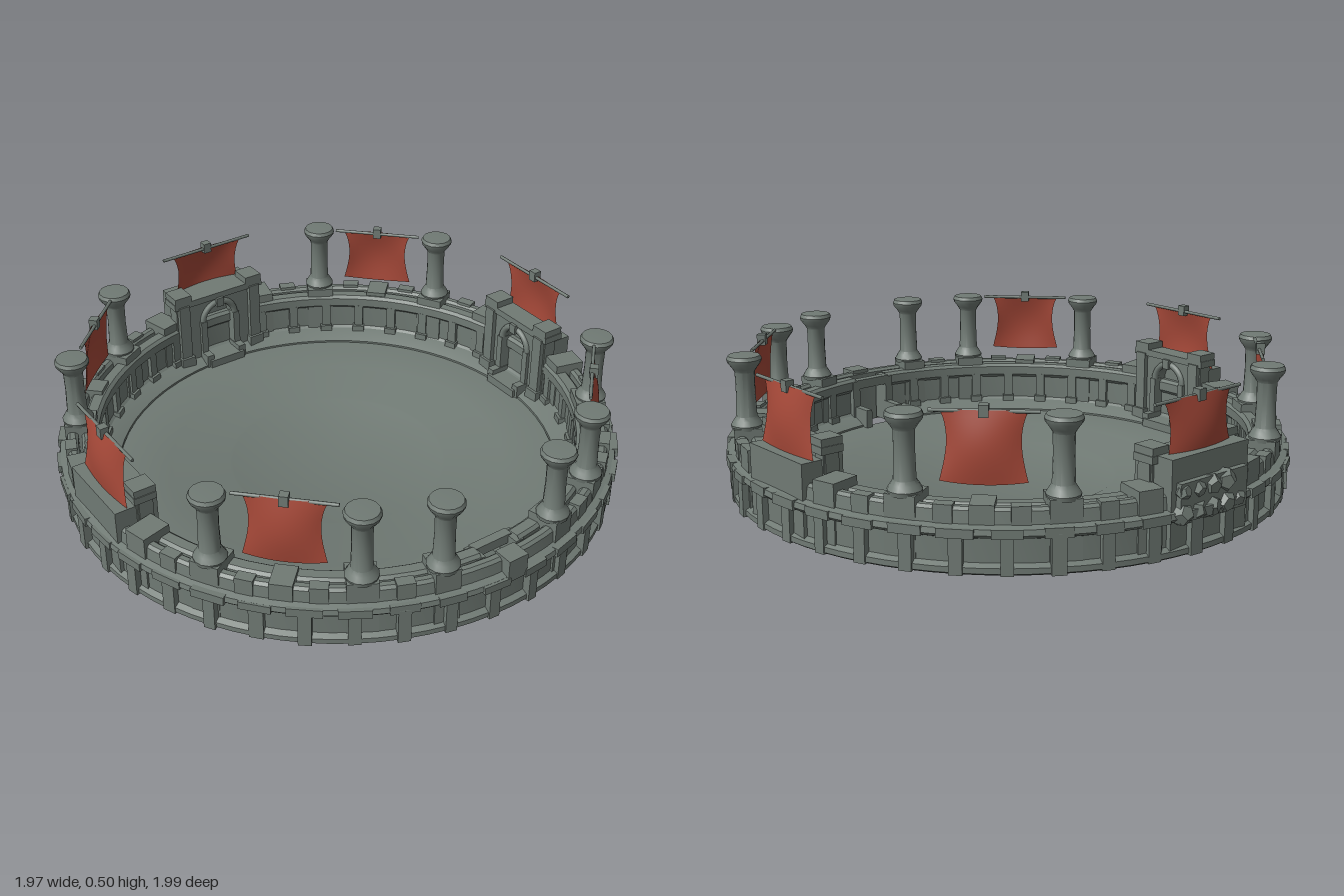
import * as THREE from 'three';
import { toCreasedNormals } from 'three/addons/utils/BufferGeometryUtils.js';

const stone = new THREE.MeshStandardMaterial({ color: 0x707a74 });
stone.name = 'grey stone';
const cloth = new THREE.MeshStandardMaterial({ color: 0xa54838, side: THREE.DoubleSide });
cloth.name = 'red cloth';

let seed = 7;
const rand = () => (seed = (seed * 16807) % 2147483647) / 2147483647;
const jitter = (v, amount) => v + (rand() - 0.5) * amount;
const rad = (deg) => (deg * Math.PI) / 180;

function mesh(parent, name, geometry, material = stone) {
  const m = new THREE.Mesh(geometry, material);
  m.name = name;
  parent.add(m);
  return m;
}

// Box given by its width and its extents in y and z
function block(parent, name, w, y0, y1, z0, z1, x = 0) {
  const m = mesh(parent, name, new THREE.BoxGeometry(w, y1 - y0, z1 - z0));
  m.position.set(x, (y0 + y1) / 2, (z0 + z1) / 2);
  return m;
}

// Group turned about the arena axis; local +z points outward
function spoke(parent, name, deg) {
  const g = new THREE.Group();
  g.name = name;
  g.rotation.y = rad(deg);
  parent.add(g);
  return g;
}

function lathe(parent, name, profile, segments, start = 0) {
  const pts = profile.map(([r, y]) => new THREE.Vector2(r, y));
  const geo = new THREE.LatheGeometry(pts, segments, start, Math.PI * 2 - 2 * start);
  return mesh(parent, name, toCreasedNormals(geo, 0.6));
}

// Column with flared foot and capital
function column(parent, r) {
  const c = lathe(parent, 'column', [
    [0, 0.23], [0.052, 0.23], [0.055, 0.245], [0.045, 0.262], [0.036, 0.275], [0.033, 0.36],
    [0.034, 0.43], [0.042, 0.443], [0.057, 0.463], [0.06, 0.475], [0.054, 0.487], [0, 0.49],
  ], 14);
  c.position.z = r;
}

// Billowing cloth hanging from a crossbar
function banner(parent, r, barHalf, width) {
  const h = 0.215;
  const geo = new THREE.PlaneGeometry(width, h, 14, 10);
  const p = geo.attributes.position;
  for (let i = 0; i < p.count; i++) {
    const u = p.getX(i) / (width / 2);
    const v = THREE.MathUtils.clamp(0.5 - p.getY(i) / h, 0, 1);
    p.setX(i, p.getX(i) * (1 - 0.16 * Math.sin(Math.PI * Math.pow(v, 0.8))));
    p.setY(i, p.getY(i) - 0.008 * (1 - u * u) * v);
    p.setZ(i, 0.018 * v + 0.016 * Math.sin(Math.PI * v) * (1 - u * u) - 0.01 * u * u);
  }
  geo.computeVertexNormals();
  mesh(parent, 'banner', geo, cloth).position.set(0, 0.382, r);
  const bar = mesh(parent, 'bannerBar', new THREE.CylinderGeometry(0.006, 0.006, barHalf * 2, 8));
  bar.rotation.z = Math.PI / 2;
  bar.position.set(0, 0.486, r - 0.008);
  block(parent, 'bannerFinial', 0.03, 0.47, 0.508, r - 0.018, r + 0.012);
}

// Arched inner portal with side pillars and a solid back
function gate(parent, half, backTop) {
  const s = new THREE.Shape();
  s.moveTo(-half, 0.02).lineTo(half, 0.02).lineTo(half, 0.31).lineTo(-half, 0.31).closePath();
  const door = new THREE.Path();
  door.moveTo(-0.062, 0.04).lineTo(-0.062, 0.21).absarc(0, 0.21, 0.062, Math.PI, 0, true);
  door.lineTo(0.062, 0.04).closePath();
  s.holes.push(door);
  const face = new THREE.ExtrudeGeometry(s, { depth: 0.05, bevelEnabled: false, curveSegments: 12 });
  mesh(parent, 'portal', toCreasedNormals(face, 0.6)).position.z = 0.825;
  const arch = mesh(parent, 'portalArch', new THREE.TorusGeometry(0.072, 0.013, 8, 16, Math.PI));
  arch.position.set(0, 0.21, 0.825);
  block(parent, 'keystone', 0.03, 0.268, 0.305, 0.805, 0.85);
  block(parent, 'portalLintel', half * 2 + 0.02, 0.3, 0.325, 0.815, 0.895);
  block(parent, 'gateBack', half * 1.85, 0.02, backTop, 0.87, 0.955);
  block(parent, 'doorStep', 0.15, 0.02, 0.06, 0.765, 0.86);
  for (const side of [-1, 1]) {
    const x = side * (half - 0.028);
    block(parent, 'gatePillar', 0.045, 0.02, 0.31, 0.808, 0.88, x);
    block(parent, 'gatePillarFoot', 0.06, 0.02, 0.085, 0.798, 0.88, x);
    block(parent, 'gatePillarCap', 0.07, 0.305, 0.35, 0.815, 0.893, x);
    block(parent, 'doorJamb', 0.026, 0.05, 0.215, 0.812, 0.85, side * 0.073);
    block(parent, 'stepCurb', 0.03, 0.02, 0.08, 0.775, 0.85, side * 0.072);
  }
}

export function createModel() {
  const arena = new THREE.Group();
  arena.name = 'arena';

  // Floor with shallow concentric steps
  lathe(arena, 'floor', [
    [0, 0.012], [0.785, 0.012], [0.785, 0.03], [0.6, 0.025], [0.59, 0.021],
    [0.39, 0.02], [0.38, 0.016], [0, 0.016],
  ], 64);

  // Ring walls; the inner ones leave a notch at the front entrance
  const notch = 0.085;
  lathe(arena, 'floorLedge', [
    [0.787, 0.02], [0.865, 0.02], [0.865, 0.066], [0.84, 0.06], [0.787, 0.036], [0.787, 0.02],
  ], 72, notch);
  lathe(arena, 'innerWall', [
    [0.84, 0.02], [0.9, 0.02], [0.9, 0.2], [0.89, 0.21], [0.855, 0.21], [0.843, 0.2],
    [0.843, 0.168], [0.858, 0.155], [0.858, 0.07], [0.84, 0.055], [0.84, 0.02],
  ], 72, notch);
  lathe(arena, 'outerWall', [
    [0.912, 0.01], [0.962, 0.01], [0.974, 0.018], [0.974, 0.036], [0.955, 0.046], [0.955, 0.122],
    [0.974, 0.13], [0.983, 0.14], [0.979, 0.158], [0.955, 0.165], [0.95, 0.205], [0.94, 0.214],
    [0.922, 0.214], [0.912, 0.205], [0.912, 0.01],
  ], 80);

  // Pilasters outside and ribs inside
  const count = 40;
  for (let i = 0; i < count; i++) {
    const deg = (i + 0.5) * (360 / count);
    const g = spoke(arena, 'wallBay', deg);
    block(g, 'pilaster', jitter(0.042, 0.015), 0.012, 0.14, 0.94, jitter(0.978, 0.01));
    block(g, 'corniceStone', jitter(0.1, 0.03), 0.13, jitter(0.16, 0.006), 0.94, jitter(0.986, 0.008));
    const fromGate = 45 - Math.abs((deg % 90) - 45);
    if (fromGate > 11) {
      block(g, 'innerRib', 0.034, 0.04, 0.17, 0.842, 0.87);
      block(g, 'innerRibFoot', 0.045, 0.04, 0.08, 0.832, 0.87);
    }
  }

  // Four quarters: piers, columns and corner banners
  for (let q = 0; q < 4; q++) {
    for (const a of [30, 60]) {
      const g = spoke(arena, 'columnPier', q * 90 + a);
      block(g, 'pier', 0.1, 0.03, 0.238, 0.85, 0.955);
      column(g, 0.91);
    }
    for (const a of [14, 76]) {
      const deg = q * 90 + a;
      const g = spoke(arena, 'gatePier', deg);
      block(g, 'pier', 0.085, 0.03, 0.24, 0.852, 0.96);
      if (deg === 14 || deg === 346) column(g, 0.915);
    }
    for (const a of [22, 38, 52, 68]) {
      block(spoke(arena, 'parapet', q * 90 + a), 'parapetStone', 0.06, 0.16, 0.222, 0.918, 0.957);
    }
    const g = spoke(arena, 'cornerBanner', q * 90 + 45);
    block(g, 'parapetStone', 0.075, 0.16, 0.225, 0.86, 0.957);
    banner(g, 0.878, 0.165, 0.265);
  }

  // Three portals with banners above
  for (const [deg, half, top] of [[90, 0.165, 0.28], [270, 0.165, 0.28], [180, 0.185, 0.325]]) {
    const g = spoke(arena, 'gate', deg);
    gate(g, half, top);
    banner(g, 0.902, 0.19, 0.3);
  }

  // Rough masonry behind the rear portal
  const rear = spoke(arena, 'rearMasonry', 180);
  block(rear, 'rearButtress', 0.3, 0.12, 0.25, 0.93, 0.975);
  for (let i = 0; i < 9; i++) {
    const rock = mesh(rear, 'rock', new THREE.DodecahedronGeometry(jitter(0.034, 0.012)));
    rock.position.set(-0.13 + (i % 5) * 0.062, 0.15 + Math.floor(i / 5) * 0.07, 0.962);
    rock.rotation.set(rand() * 3, rand() * 3, 0);
  }

  // Open front entrance: two posts, a crossbar and a crest stone
  const front = spoke(arena, 'frontEntrance', 0);
  for (const side of [-1, 1]) {
    block(front, 'entrancePost', 0.032, 0.02, 0.2, 0.83, 0.9, side * 0.078);
    block(front, 'entranceCurb', 0.026, 0.02, 0.1, 0.755, 0.84, side * 0.072);
  }
  block(front, 'entranceBar', 0.15, 0.17, 0.205, 0.83, 0.862);
  block(front, 'crestStone', 0.075, 0.14, 0.222, 0.915, 0.985);

  return arena;
}
